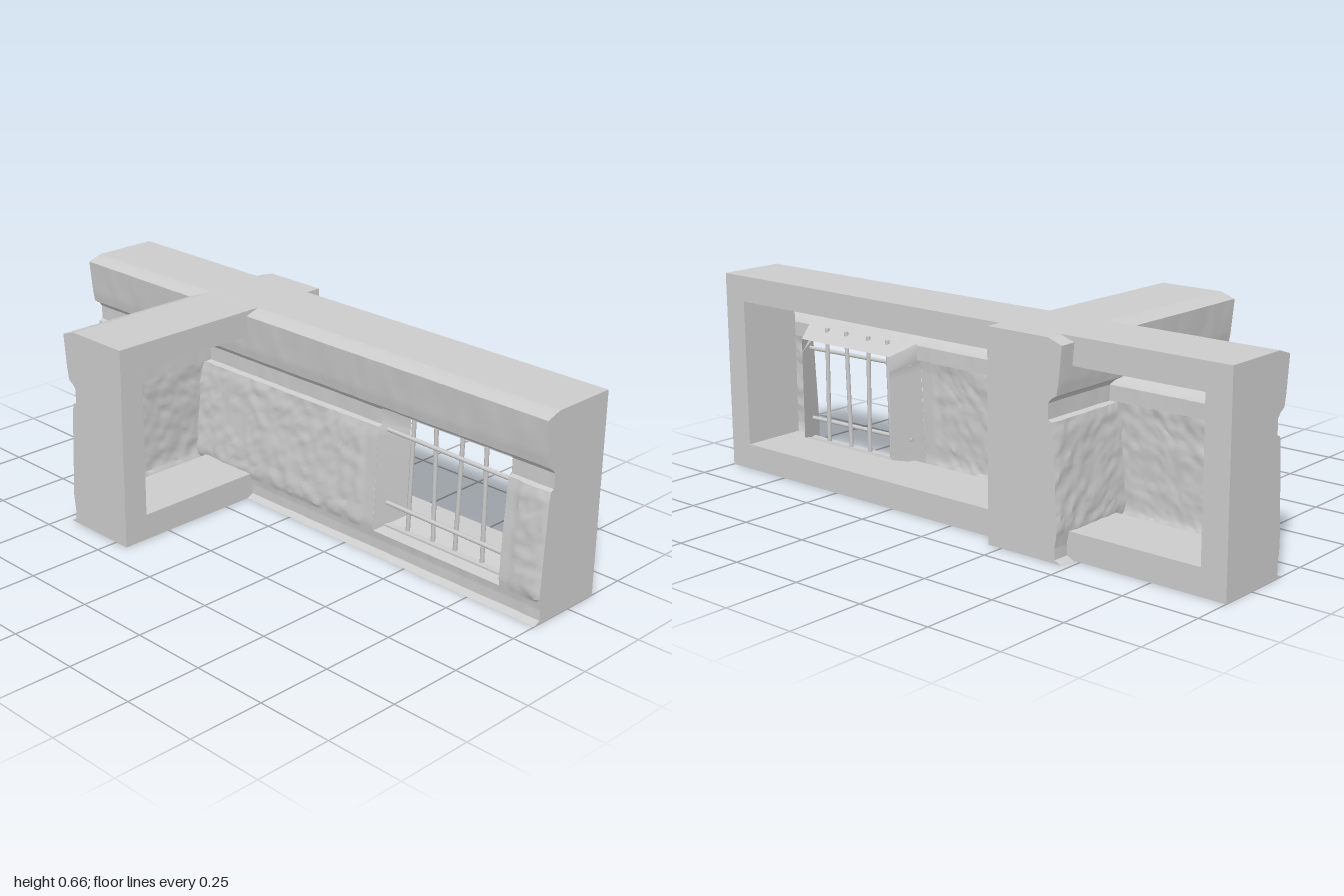
import * as THREE from 'three';
import { toCreasedNormals } from 'three/addons/utils/BufferGeometryUtils.js';

const grey = new THREE.MeshStandardMaterial({ color: 0xcccccc });
const thin = new THREE.MeshStandardMaterial({ color: 0xcccccc, side: THREE.DoubleSide });

const H = 0.657, BACK = -0.37, CORE = -0.15, RIM = 0.085, STEP = 0.0125;

// Moulding profile as [y, z]: plinth, wall face, recess and worn cornice
const PROFILE = [
  [0, CORE], [0, -0.096], [0.011, -0.119], [0.05, -0.119], [0.07, -0.115], [0.096, -0.112],
  [0.383, -0.126], [0.415, -0.131], [0.42, -0.1445], [0.468, -0.1445], [0.475, -0.139],
  [0.482, -0.133], [0.493, -0.115], [0.528, -0.108], [0.64, -0.096], [H, -0.147], [H, CORE],
];

// Window recess: front rectangle and the smaller opening at its back
const WINDOW = { x0: 0.35, x1: 0.85, y0: 0.07, y1: 0.475 };
const HOLE = { x0: 0.39, x1: 0.795, y0: 0.1, y1: 0.44, z: -0.23 };

function add(group, name, geometry, material = grey) {
  const mesh = new THREE.Mesh(geometry, material);
  mesh.name = name;
  group.add(mesh);
  return mesh;
}

// Smooth value noise in -1..1
function hash(i, j) {
  const s = Math.sin(i * 127.1 + j * 311.7) * 43758.5453;
  return (s - Math.floor(s)) * 2 - 1;
}
function noise(x, y) {
  const i = Math.floor(x), j = Math.floor(y);
  const u = THREE.MathUtils.smoothstep(x - i, 0, 1), v = THREE.MathUtils.smoothstep(y - j, 0, 1);
  const { lerp } = THREE.MathUtils;
  return lerp(lerp(hash(i, j), hash(i + 1, j), u), lerp(hash(i, j + 1), hash(i + 1, j + 1), u), v);
}

function meshFrom(positions, index) {
  const g = new THREE.BufferGeometry();
  g.setAttribute('position', new THREE.Float32BufferAttribute(positions, 3));
  g.setIndex(index);
  return g;
}

// Profile swept along the wall, roughened inside the plaster panels
function skinGeometry(half, isPanel, isHole) {
  const rows = [];
  PROFILE.forEach(([y, z], k) => {
    if (k === 0) return rows.push([y, z]);
    const [py, pz] = PROFILE[k - 1];
    const n = Math.max(1, Math.ceil((Math.abs(y - py) - 1e-6) / STEP));
    for (let s = 1; s <= n; s++) rows.push([py + (y - py) * s / n, pz + (z - pz) * s / n]);
  });
  const cols = Math.round(half * 2 / STEP), positions = [], index = [], w = rows.length;
  for (let c = 0; c <= cols; c++) {
    const x = -half + c * STEP;
    rows.forEach(([y, z], r) => {
      let d = 0;
      if (c > 0 && c < cols && r > 0 && r < w - 1) {
        const bumps = noise(x * 36 + 9, y * 36) + 0.6 * noise(x * 75, y * 75 + 5);
        d = isPanel(x, y) ? 0.004 + 0.0035 * bumps : 0.0015 * noise(x * 25, y * 12);
      }
      positions.push(x, y, z + d);
    });
  }
  for (let c = 0; c < cols; c++) {
    for (let r = 0; r < w - 1; r++) {
      const my = (rows[r][0] + rows[r + 1][0]) / 2;
      if (isHole(-half + (c + 0.5) * STEP, my)) continue;
      const a = c * w + r, b = a + w;
      index.push(a, b, b + 1, a, b + 1, a + 1);
    }
  }
  return toCreasedNormals(meshFrom(positions, index), 0.6);
}

// Hollow wall segment: backing frame, moulded skin and end caps
function makeWall(name, half, isPanel, isHole) {
  const wall = new THREE.Group();
  wall.name = name;

  const outline = new THREE.Shape([
    new THREE.Vector2(-half, 0), new THREE.Vector2(half, 0),
    new THREE.Vector2(half, H), new THREE.Vector2(-half, H)]);
  const e = half - RIM, top = H - RIM;
  outline.holes.push(new THREE.Path([
    new THREE.Vector2(-e, RIM), new THREE.Vector2(-e, top),
    new THREE.Vector2(e, top), new THREE.Vector2(e, RIM)]));
  const frame = new THREE.ExtrudeGeometry(outline, { depth: CORE - BACK, bevelEnabled: false });
  add(wall, 'backFrame', frame.translate(0, 0, BACK));

  add(wall, 'mouldedFace', skinGeometry(half, isPanel, isHole), thin);

  const cap = new THREE.Shape(PROFILE.map(([y, z]) => new THREE.Vector2(-z, y)));
  for (const side of [-1, 1]) {
    const end = add(wall, 'endCap', new THREE.ShapeGeometry(cap), thin);
    end.rotation.y = Math.PI / 2;
    end.position.x = side * half;
  }
  return wall;
}

// Splayed window reveal joining the wall face to the smaller rear opening
function revealGeometry() {
  const { x0, x1, y0, y1 } = WINDOW;
  const right = [[y0, -0.115], [0.096, -0.112], [0.383, -0.126], [0.415, -0.131], [0.42, -0.1445],
    [0.468, -0.1445], [y1, -0.139]];
  const ring = [
    ...right.map(([y, z]) => [x1, y, z]),
    ...right.slice().reverse().map(([y, z]) => [x0, y, z]),
  ];
  const positions = [], index = [], n = ring.length;
  ring.forEach(([x, y, z], i) => {
    const t = (y - y0) / (y1 - y0);
    positions.push(x, y, z);
    positions.push(x === x0 ? HOLE.x0 : HOLE.x1, HOLE.y0 + t * (HOLE.y1 - HOLE.y0), HOLE.z);
    const a = i * 2, b = ((i + 1) % n) * 2;
    index.push(a, b, b + 1, a, b + 1, a + 1);
  });
  return toCreasedNormals(meshFrom(positions, index), 0.6);
}

function bar(group, name, from, to) {
  const a = new THREE.Vector3(...from), b = new THREE.Vector3(...to);
  const mesh = add(group, name, new THREE.CylinderGeometry(0.007, 0.007, a.distanceTo(b), 8));
  mesh.position.copy(a).add(b).multiplyScalar(0.5);
  mesh.quaternion.setFromUnitVectors(new THREE.Vector3(0, 1, 0), b.sub(a).normalize());
}

function makeWindow() {
  const group = new THREE.Group();
  group.name = 'barredWindow';
  add(group, 'windowReveal', revealGeometry(), thin);
  // Slightly crooked bars
  const z = -0.17;
  [0.45, 0.545, 0.64, 0.738].forEach((x, i) => {
    const lean = i % 2 ? -0.002 : 0.006;
    bar(group, 'uprightBar', [x - lean, 0.07, z], [x + lean, 0.475, z]);
  });
  bar(group, 'crossBar', [0.36, 0.402, z + 0.01], [0.85, 0.392, z + 0.01]);
  bar(group, 'crossBar', [0.36, 0.157, z + 0.01], [0.85, 0.149, z + 0.01]);
  return group;
}

export function createModel() {
  const model = new THREE.Group();
  model.name = 'crossedWalls';
  const inBand = (y) => y > 0.072 && y < 0.418;

  // Long wall with the barred window
  const longWall = makeWall('longWall', 1,
    (x, y) => inBand(y) && (x < 0.295 || x > 0.9),
    (x, y) => x > WINDOW.x0 && x < WINDOW.x1 && y > WINDOW.y0 && y < WINDOW.y1);
  longWall.add(makeWindow());
  model.add(longWall);

  // Short wall crossing it, moulded side facing -x
  const shortWall = makeWall('shortWall', 0.425, (x, y) => inBand(y), () => false);
  shortWall.rotation.y = -Math.PI / 2;
  shortWall.position.x = -0.57;
  model.add(shortWall);
  return model;
}
